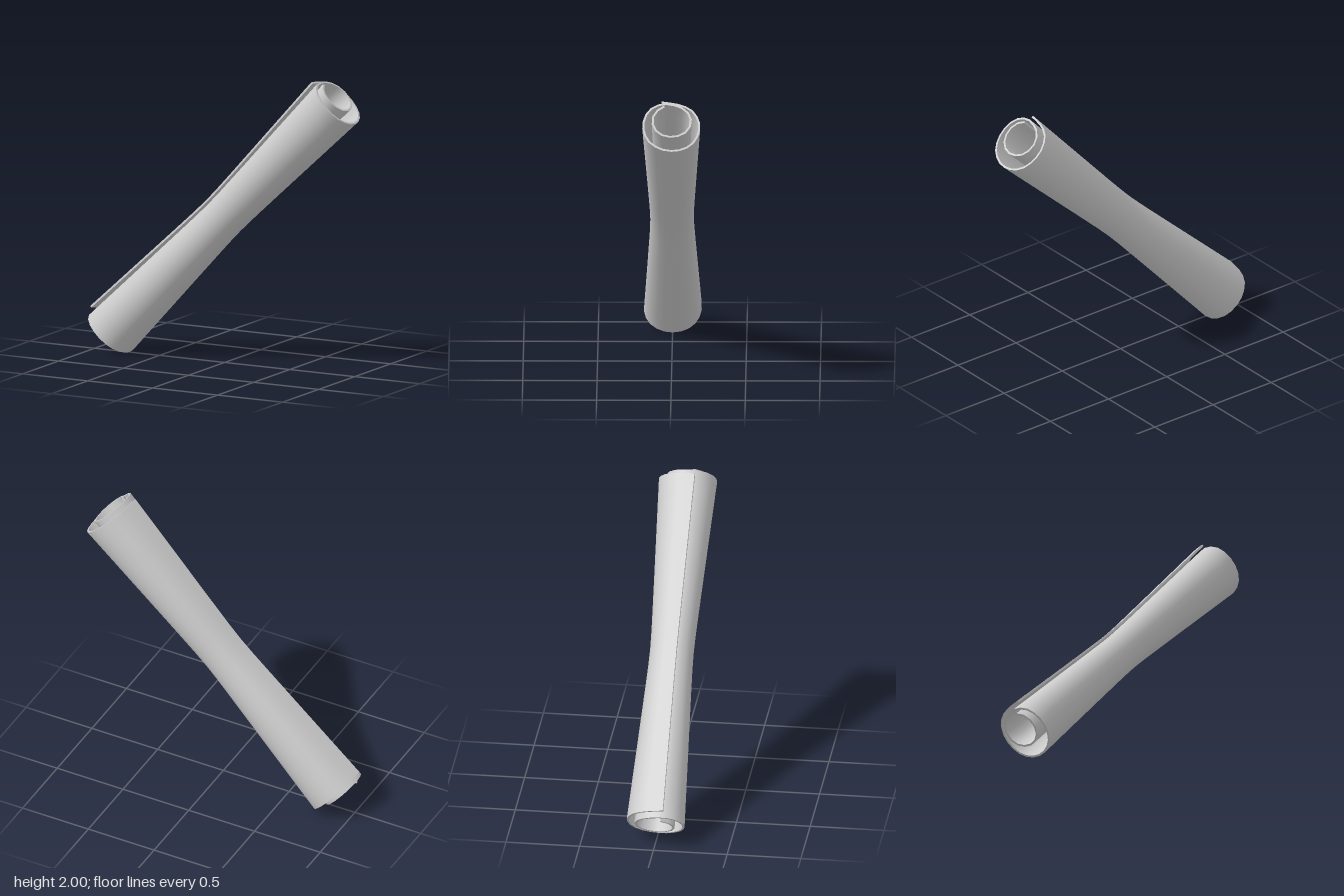
import * as THREE from 'three';
import { mergeGeometries } from 'three/addons/utils/BufferGeometryUtils.js';

const THICK = 0.014, AROUND = 36, ALONG = 20;

// Cross-section of the roll at its ends, from the loose outer flap to the inner edge:
// x = towards the upper side of the roll, y = towards the front
const spiral = new THREE.SplineCurve([
  [0.205, 0.065], [0.183, -0.05], [0.135, -0.14], [0.04, -0.188], [-0.06, -0.18],
  [-0.14, -0.13], [-0.182, -0.04], [-0.175, 0.06], [-0.12, 0.145], [-0.03, 0.185],
  [0.07, 0.175], [0.14, 0.125], [0.168, 0.05], [0.155, -0.03], [0.115, -0.1],
  [0.04, -0.133], [-0.04, -0.11], [-0.085, -0.04], [-0.085, 0.04], [-0.045, 0.1],
  [0.03, 0.125], [0.1, 0.1], [0.14, 0.045],
].map(([a, b]) => new THREE.Vector2(a, b)));

// The roll narrows towards its middle
const taper = (s) => 0.74 + 0.26 * (Math.hypot(s, 0.1) - 0.1) / 1.13;

// Point of the sheet: t along the spiral, l along the roll (0..1), o across the thickness (0..1)
function sheetPoint(t, l, o) {
  const p = spiral.getPointAt(t), d = spiral.getTangentAt(t);
  const halfLength = 1.203 + 0.075 * t - 0.02 * t * t; // inner turns stick out further
  const s = (2 * l - 1) * halfLength, k = taper(s), off = (o - 0.5) * THICK;
  const n = p.x * k + d.y * off, z = p.y * k - d.x * off;
  return [(s - n) * Math.SQRT1_2, 1 + (s + n) * Math.SQRT1_2, z];
}

// Surface patch facing du x dv
function patch(nu, nv, f) {
  const g = new THREE.PlaneGeometry(1, 1, nu, nv);
  const pos = g.attributes.position, uv = g.attributes.uv;
  for (let i = 0; i < pos.count; i++) pos.setXYZ(i, ...f(uv.getX(i), uv.getY(i)));
  g.computeVertexNormals();
  return g;
}

export function createModel() {
  const group = new THREE.Group();
  group.name = 'rolledScroll';
  const material = new THREE.MeshStandardMaterial({ color: 0xcccccc, side: THREE.DoubleSide });
  const add = (name, ...parts) => {
    const mesh = new THREE.Mesh(mergeGeometries(parts), material);
    mesh.name = name;
    group.add(mesh);
  };

  // Both faces of the rolled sheet. The spiral runs so that outward is on the side (d.y, -d.x)
  const out = outwardSide();
  add('sheetFaces',
    patch(ALONG, AROUND, (u, v) => sheetPoint(v, u, out)),
    patch(AROUND, ALONG, (u, v) => sheetPoint(u, v, 1 - out)));

  // Thin rims at both ends of the roll
  const across = (o) => (out ? o : 1 - o);
  add('endRims',
    patch(AROUND, 1, (u, v) => sheetPoint(u, 1, across(v))),
    patch(1, AROUND, (u, v) => sheetPoint(v, 0, across(u))));

  // Long edges: the loose flap outside and the edge inside the roll
  add('longEdges',
    patch(ALONG, 1, (u, v) => sheetPoint(0, u, across(v))),
    patch(1, ALONG, (u, v) => sheetPoint(1, v, across(u))));
  return group;
}

// Which side of the sheet (0 or 1) faces away from the middle of the roll
function outwardSide() {
  const p = spiral.getPointAt(0.25), d = spiral.getTangentAt(0.25);
  return p.x * d.y - p.y * d.x > 0 ? 1 : 0;
}
